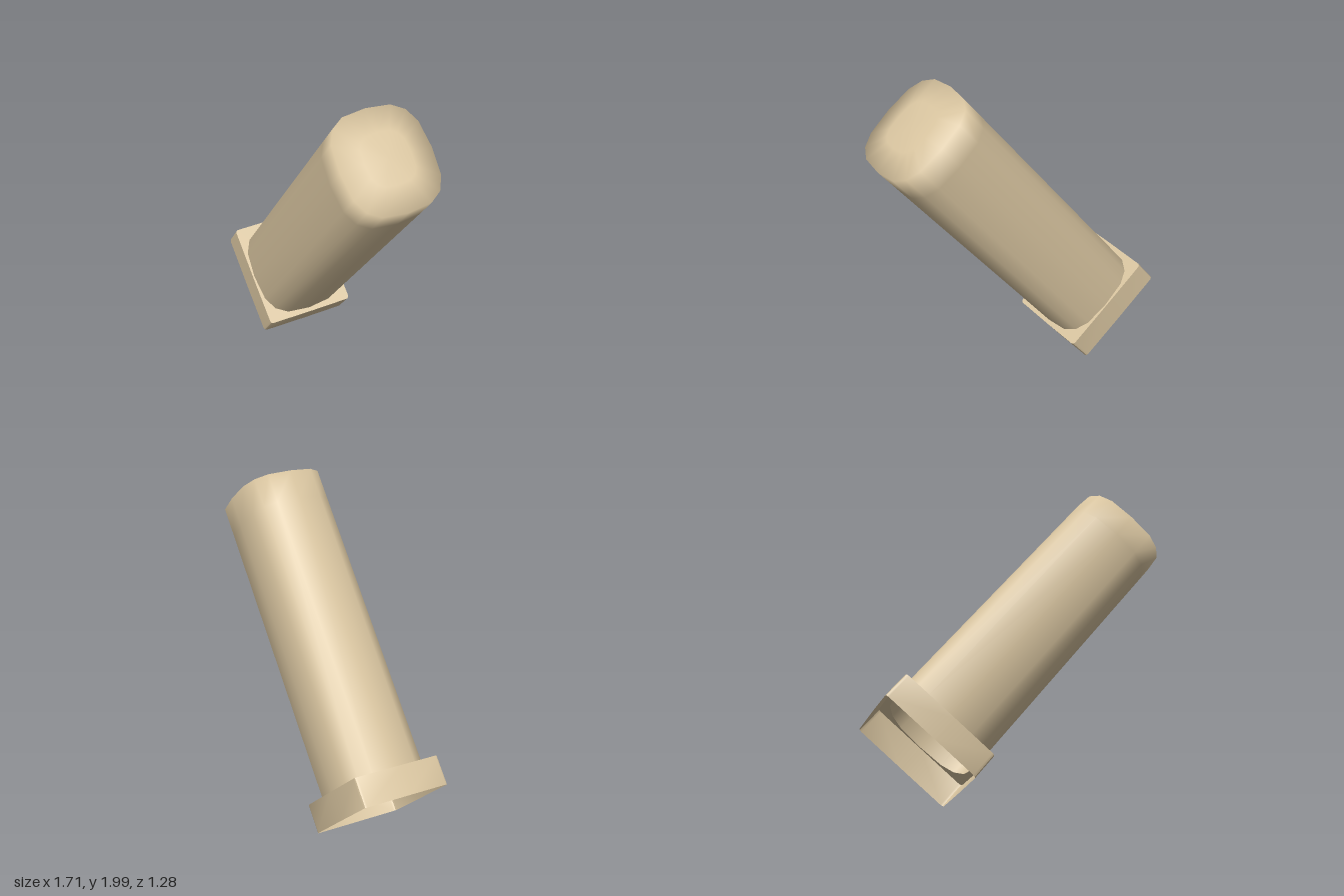
import * as THREE from 'three';
import { toCreasedNormals } from 'three/addons/utils/BufferGeometryUtils.js';

const SIDES = 16;

// Superellipse ring [x, y, z] at height y; a and b are half sizes, a higher power is squarer.
function ring(y, a, b, power) {
  const bend = (v) => Math.sign(v) * Math.abs(v) ** (2 / power);
  return Array.from({ length: SIDES }, (_, i) => {
    const t = (i / SIDES) * Math.PI * 2;
    return [a * bend(Math.cos(t)), y, b * bend(Math.sin(t))];
  });
}

// Skin between successive rings.
function loft(rings, crease) {
  const index = [];
  for (let i = 0; i < rings.length - 1; i++) {
    for (let j = 0; j < SIDES; j++) {
      const a = i * SIDES + j, b = i * SIDES + (j + 1) % SIDES;
      const c = a + SIDES, d = b + SIDES;
      index.push(a, c, b, b, c, d);
    }
  }
  const geometry = new THREE.BufferGeometry();
  geometry.setAttribute('position', new THREE.Float32BufferAttribute(rings.flat(2), 3));
  geometry.setIndex(index);
  return toCreasedNormals(geometry, crease);
}

export function createModel() {
  const group = new THREE.Group();
  const body = new THREE.Group();
  body.name = 'tiltedPeg';
  group.add(body);

  const material = new THREE.MeshStandardMaterial({ color: 0xd9c5a0, side: THREE.DoubleSide });
  const add = (name, geometry) => {
    const mesh = new THREE.Mesh(geometry, material);
    mesh.name = name;
    body.add(mesh);
  };

  const baseHeight = 0.175, top = 2.04;
  const a = 0.272, b = 0.3;
  const shaftRing = (y, scale = 1) => ring(y, a * scale, b * scale, 3);

  // Rectangular foot, open underneath, with a ledge running in to the shaft
  add('foot', loft([
    ring(0, 0.282, 0.326, 30),
    ring(baseHeight, 0.282, 0.326, 30),
    shaftRing(baseHeight),
  ], 0.7));

  // Rounded shaft, softly shaded over the rim into a nearly flat end
  add('shaft', loft([
    shaftRing(baseHeight),
    shaftRing(1.86),
    shaftRing(top),
    shaftRing(top + 0.025, 0.5),
    shaftRing(top + 0.025, 0),
  ], 2.6));

  // Lean of the whole peg
  body.rotation.set(THREE.MathUtils.degToRad(38), THREE.MathUtils.degToRad(60), 0, 'YXZ');
  body.position.set(-0.5, 0.201, -0.275);
  return group;
}
